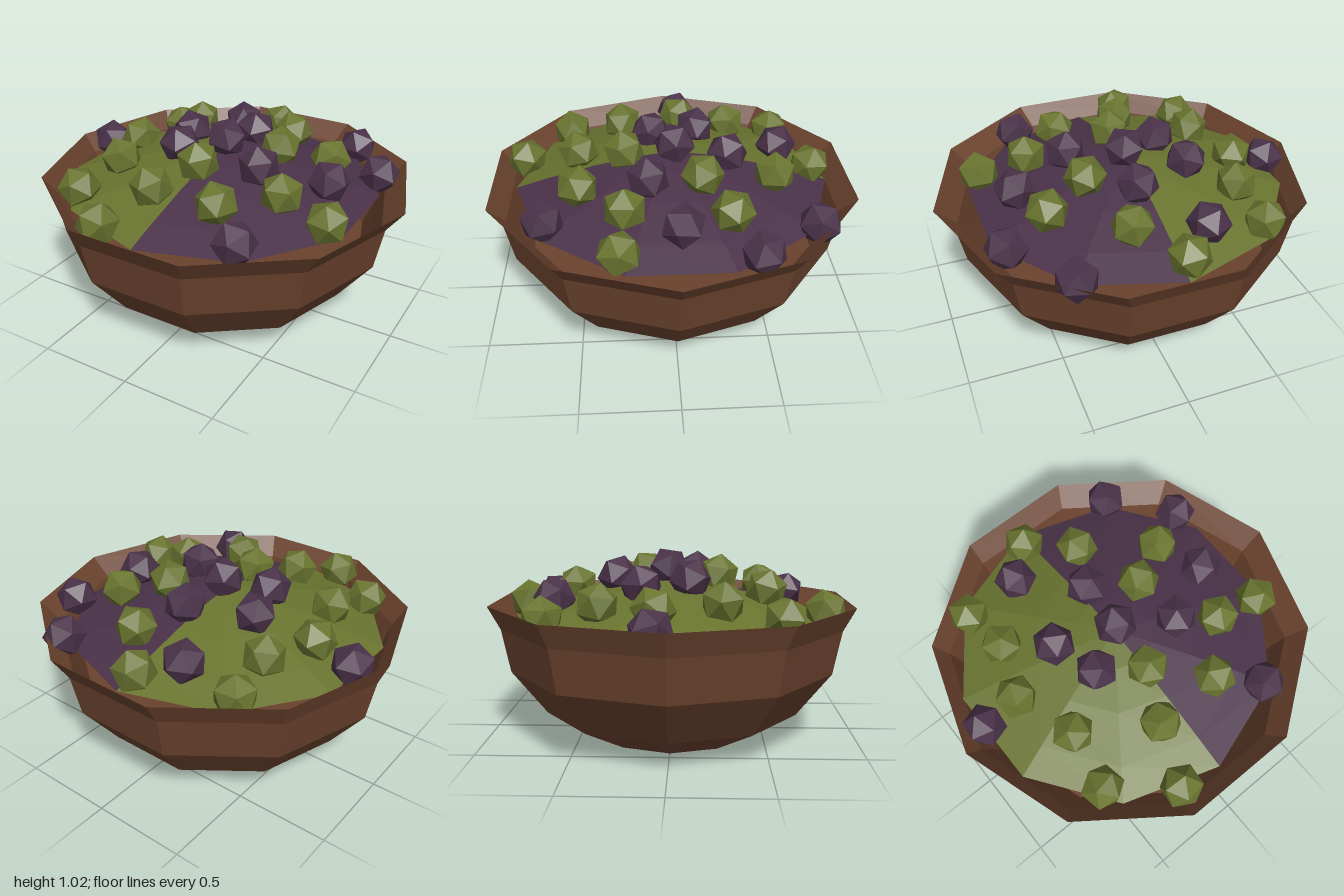
import * as THREE from 'three';

const brown = new THREE.MeshStandardMaterial({ color: 0x6b432e });
const green = new THREE.MeshStandardMaterial({ color: 0x69742f });
const purple = new THREE.MeshStandardMaterial({ color: 0x4a3249 });
brown.name = 'woodBrown';
green.name = 'oliveGreen';
purple.name = 'plumPurple';

// Faceted lathe from [radius, height] pairs, listed so the faces point outward
function facetedLathe(profile, segments, start, sweep) {
  const points = profile.map(([r, y]) => new THREE.Vector2(r, y));
  return new THREE.LatheGeometry(points, segments, start, sweep);
}

function flat(geometry) {
  const g = geometry.index ? geometry.toNonIndexed() : geometry;
  g.computeVertexNormals();
  return g;
}

function addMesh(parent, name, geometry, material) {
  const mesh = new THREE.Mesh(geometry, material);
  mesh.name = name;
  parent.add(mesh);
  return mesh;
}

function seeded(seed) {
  return () => {
    seed = (seed * 16807) % 2147483647;
    return seed / 2147483647;
  };
}

// Height of the filling at a distance from the middle
const domeHeight = (r) => 0.86 - 0.2 * Math.pow(r / 0.85, 1.4);

// Berry positions as [x, z]
const greenBerries = [
  [-0.55, -0.62], [-0.07, -0.77], [0.13, -0.54], [-0.52, -0.35], [-0.63, -0.07],
  [0.48, -0.28], [0.24, -0.15], [-0.52, 0.26], [-0.03, 0.25], [0.45, 0.25],
  [0.71, 0.28], [-0.57, 0.56], [-0.15, 0.5], [0.22, 0.49], [-0.26, 0.8],
];
const purpleBerries = [
  [-0.24, -0.61], [0.47, -0.72], [0.72, -0.4], [0.01, -0.3], [-0.32, -0.15],
  [-0.84, -0.07], [-0.02, -0.02], [-0.24, 0.1], [0.26, 0.13], [0.58, -0.03], [0.42, 0.66],
];

export function createModel() {
  const model = new THREE.Group();
  model.name = 'berryBowl';

  // Ten-sided bowl: base, outer wall, flared rim, then back down inside
  const bowl = facetedLathe([
    [0, 0], [0.42, 0], [0.7, 0.15], [0.885, 0.39], [0.93, 0.62], [1, 0.74],
    [0.91, 0.64], [0.86, 0.5], [0.8, 0.36], [0, 0.3],
  ], 10, Math.PI / 10, Math.PI * 2);
  // The body sits slightly off the rim's centre
  const pos = bowl.attributes.position;
  for (let i = 0; i < pos.count; i++) {
    if (pos.getY(i) < 0.7) pos.setX(i, pos.getX(i) - 0.02);
  }
  addMesh(model, 'bowl', flat(bowl), brown);

  // Domed filling in two halves
  const dome = [0.853, 0.68, 0.42, 0.2, 0].map((r) => [r, domeHeight(r)]);
  for (const [name, start, material] of [
    ['purpleFilling', 0, purple], ['greenFilling', Math.PI, green],
  ]) {
    const half = addMesh(model, name, flat(facetedLathe(dome, 5, start, Math.PI)), material);
    half.position.set(-0.035, 0, -0.01);
  }

  // Berries resting on the filling, each turned differently
  const random = seeded(77);
  const berryGeometry = new THREE.IcosahedronGeometry(0.115, 0);
  const addBerries = (name, spots, material) => {
    const group = new THREE.Group();
    group.name = name;
    for (const [x, z] of spots) {
      const berry = addMesh(group, 'berry', berryGeometry, material);
      berry.position.set(x, domeHeight(Math.hypot(x, z)) + 0.055, z);
      berry.rotation.set(random() * 3, random() * 3, random() * 3);
    }
    model.add(group);
  };
  addBerries('greenBerries', greenBerries, green);
  addBerries('purpleBerries', purpleBerries, purple);

  return model;
}
